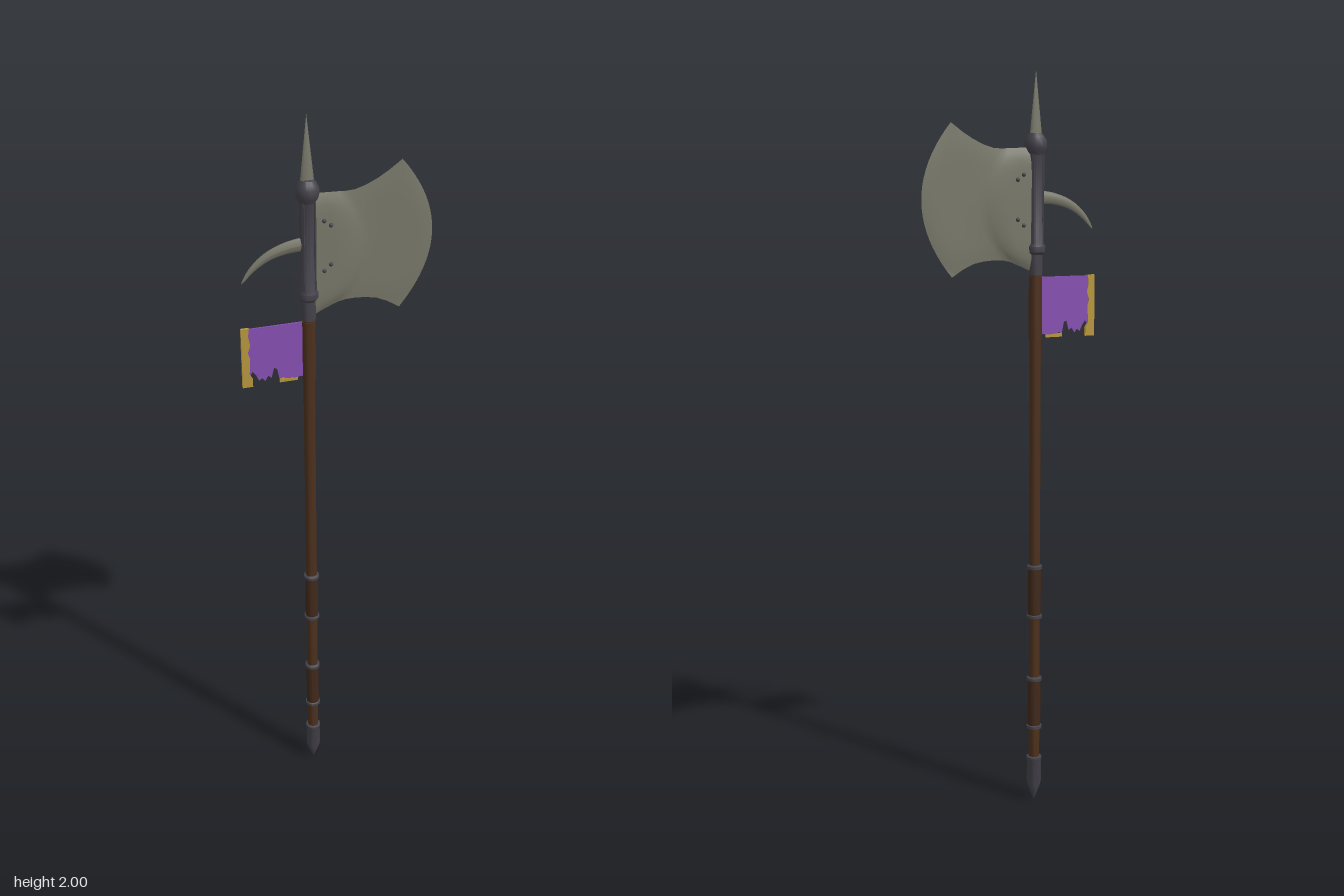
import * as THREE from 'three';
import { toCreasedNormals } from 'three/addons/utils/BufferGeometryUtils.js';

const POLE_X = -0.074;

function material(name, color, side = THREE.FrontSide) {
  const m = new THREE.MeshStandardMaterial({ color, side });
  m.name = name;
  return m;
}

// Smooth cubic through a few [x, y] points
const spline = (pts) => new THREE.SplineCurve(pts.map(([x, y]) => new THREE.Vector2(x, y)));

// Blade face: columns run from socket to cutting edge, rows from top to bottom
function bladeFace(sign) {
  const top = spline([[-0.065, 1.805], [0, 1.802], [0.05, 1.803], [0.11, 1.828], [0.164, 1.865]]);
  const bottom = spline([[-0.065, 1.482], [0, 1.511], [0.05, 1.516], [0.11, 1.506], [0.164, 1.475]]);
  const columns = [0, 0.12, 0.24, 0.27, 0.36, 0.48, 0.6, 0.72, 0.84, 0.93, 1];
  const depth = [0.011, 0.01, 0.009, 0.0045, 0.003, 0.0025, 0.0025, 0.003, 0.003, 0.002, 0];
  const rows = 20, pos = [], idx = [];
  columns.forEach((u, i) => {
    const a = top.getPoint(u), b = bottom.getPoint(u);
    const bulge = 0.082 * (1 - (1 - u) ** 4);
    for (let j = 0; j <= rows; j++) {
      const t = j / rows, s = 2 * t - 1;
      pos.push(a.x + (b.x - a.x) * t + bulge * (1 - s * s), a.y + (b.y - a.y) * t,
        sign * depth[i] * (1 - s ** 8));
      if (i && j) {
        const d = i * (rows + 1) + j, c = d - 1, q = d - rows - 1, p = q - 1;
        if (sign > 0) idx.push(p, q, c, c, q, d);
        else idx.push(p, c, q, c, d, q);
      }
    }
  });
  const g = new THREE.BufferGeometry();
  g.setAttribute('position', new THREE.Float32BufferAttribute(pos, 3));
  g.setIndex(idx);
  return toCreasedNormals(g, 0.7);
}

// Curved, tapering, slightly flattened back hook
function hookGeometry() {
  const curve = new THREE.CatmullRomCurve3([[-0.07, 1.679], [-0.13, 1.672], [-0.178, 1.655],
    [-0.215, 1.627], [-0.243, 1.592]].map(([x, y]) => new THREE.Vector3(x, y, 0)));
  const steps = 20, sides = 10;
  const g = new THREE.TubeGeometry(curve, steps, 1, sides);
  const p = g.attributes.position, v = new THREE.Vector3();
  for (let k = 0; k < p.count; k++) {
    const t = Math.floor(k / (sides + 1)) / steps, c = curve.getPointAt(t);
    const r = 0.019 * (1 - t) ** 0.6;
    v.fromBufferAttribute(p, k).sub(c);
    p.setXYZ(k, c.x + v.x * r, c.y + v.y * r, v.z * r * 0.5);
  }
  g.computeVertexNormals();
  return g;
}

// Flat cloth or trim piece cut from an outline
function sheet(points, thickness) {
  const shape = new THREE.Shape(points.map(([x, y]) => new THREE.Vector2(x, y)));
  const g = new THREE.ExtrudeGeometry(shape, { depth: thickness, bevelEnabled: false });
  return g.translate(0, 0, -thickness / 2);
}

export function createModel() {
  const group = new THREE.Group();
  const steel = material('blade steel', 0x78786a, THREE.DoubleSide);
  const iron = material('dark iron', 0x45434b);
  const wood = material('brown wood', 0x4c301c);
  const leather = material('dark leather', 0x41291a);
  const purple = material('purple cloth', 0x8750b4);
  const gold = material('gold trim', 0xb8983e);

  const add = (name, geometry, mat, x = 0, y = 0, z = 0) => {
    const mesh = new THREE.Mesh(geometry, mat);
    mesh.name = name;
    mesh.position.set(x, y, z);
    group.add(mesh);
    return mesh;
  };
  // Turned part around the pole from [radius, height] pairs
  const turned = (name, profile, mat, sides = 16) => add(name, toCreasedNormals(
    new THREE.LatheGeometry(profile.map(([r, y]) => new THREE.Vector2(r, y)), sides), 0.6), mat, POLE_X);

  // Pole, grips and their rings
  turned('pole', [[0.015, 0.1], [0.015, 1.55]], wood);
  for (const [low, high] of [[0.22, 0.36], [0.54, 0.68]]) {
    turned('grip', [[0.015, low], [0.0175, low], [0.0175, high], [0.015, high]], leather);
    for (const y of [low, high]) {
      turned('gripRing', [[0.015, y - 0.007], [0.021, y - 0.004], [0.021, y + 0.004], [0.015, y + 0.007]], iron);
    }
  }
  turned('pennantSleeve', [[0.015, 1.305], [0.0175, 1.305], [0.0175, 1.47], [0.015, 1.47]], wood);

  // Pointed butt cap
  turned('buttCap', [[0, 0.003], [0.008, 0.022], [0.018, 0.05], [0.02, 0.06], [0.0195, 0.12],
    [0.021, 0.123], [0.021, 0.132], [0.015, 0.134]], iron);

  // Head socket with upper and lower collars
  turned('headSocket', [[0.015, 1.475], [0.018, 1.475], [0.019, 1.528], [0.025, 1.535], [0.026, 1.55],
    [0.022, 1.558], [0.022, 1.61], [0.02, 1.615], [0.02, 1.785], [0.026, 1.795], [0.029, 1.805],
    [0.029, 1.82], [0.023, 1.832], [0.017, 1.84], [0, 1.842]], iron);
  for (let k = 0; k < 4; k++) {
    const a = Math.PI / 4 + k * Math.PI / 2;
    const rib = add('socketRib', new THREE.BoxGeometry(0.006, 0.23, 0.005), iron,
      POLE_X + 0.02 * Math.sin(a), 1.672, 0.02 * Math.cos(a));
    rib.rotation.y = a;
  }

  // Flattened top spike
  const spike = new THREE.ConeGeometry(0.018, 0.168, 8);
  spike.scale(1, 1, 0.5);
  add('topSpike', spike, steel, POLE_X, 1.916, 0);

  // Axe blade, hook and rivets
  add('bladeFront', bladeFace(1), steel);
  add('bladeBack', bladeFace(-1), steel);
  add('backHook', hookGeometry(), steel);
  const rivet = new THREE.SphereGeometry(0.006, 10, 6);
  for (const [x, y] of [[-0.035, 1.735], [-0.018, 1.722], [-0.035, 1.605], [-0.018, 1.62]]) {
    for (const side of [1, -1]) add('rivet', rivet, iron, x, y, side * 0.009);
  }

  // Torn pennant with gold end band and a remnant of bottom trim
  add('pennant', sheet([[-0.232, 1.47], [-0.232, 1.335], [-0.222, 1.35], [-0.213, 1.338], [-0.206, 1.322],
    [-0.197, 1.328], [-0.19, 1.318], [-0.182, 1.332], [-0.173, 1.326], [-0.166, 1.352], [-0.158, 1.348],
    [-0.152, 1.318], [-0.142, 1.322], [-0.135, 1.314], [-0.11, 1.314], [-0.1, 1.318], [-0.075, 1.318],
    [-0.075, 1.47]], 0.004), purple);
  add('pennantEndBand', sheet([[-0.249, 1.472], [-0.249, 1.308], [-0.222, 1.308], [-0.222, 1.33],
    [-0.23, 1.345], [-0.228, 1.39], [-0.233, 1.405], [-0.226, 1.425], [-0.231, 1.45], [-0.228, 1.472]],
    0.007), gold);
  add('pennantBottomTrim', sheet([[-0.152, 1.319], [-0.152, 1.309], [-0.105, 1.309], [-0.105, 1.316]],
    0.006), gold);

  return group;
}
